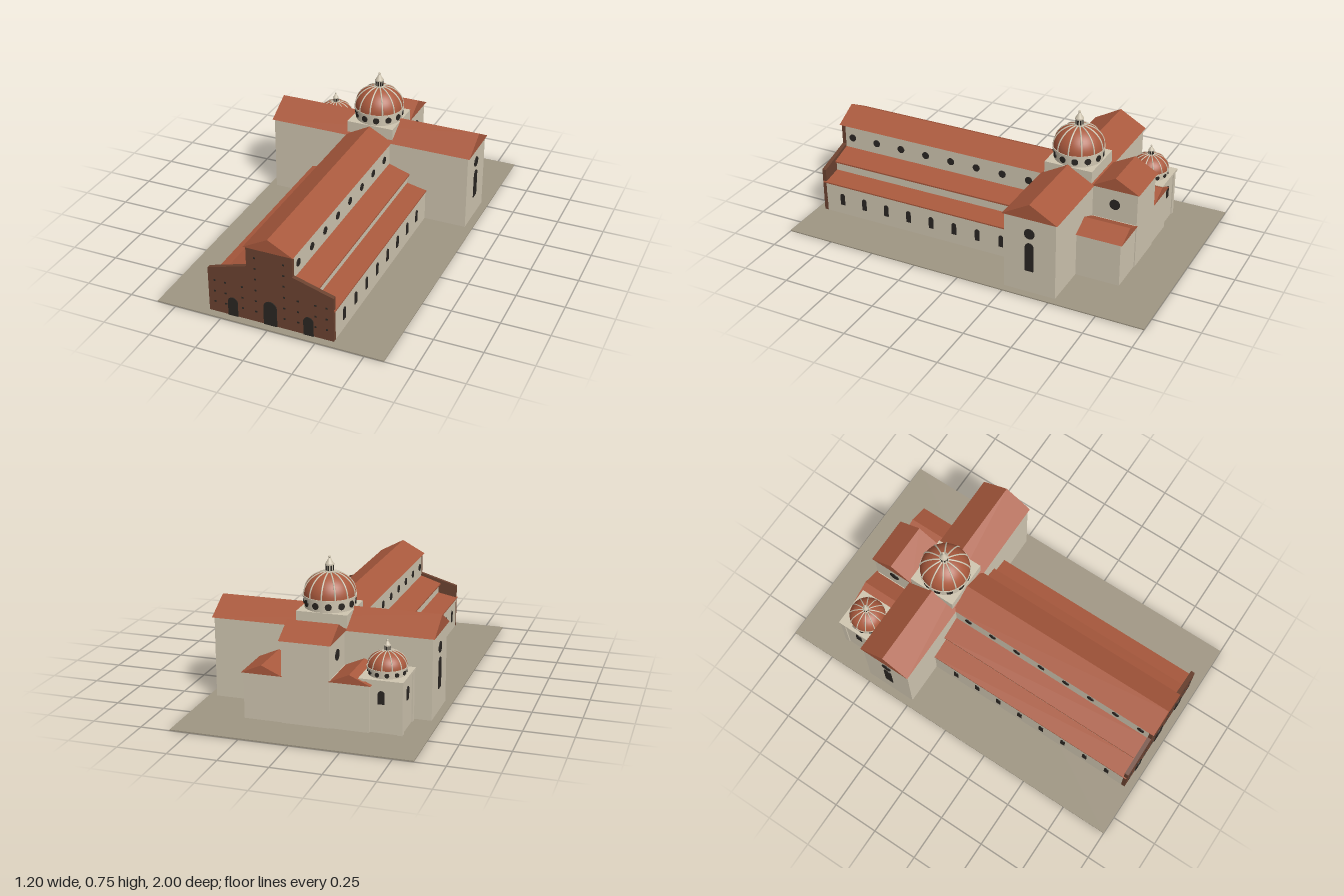
import * as THREE from 'three';

const mat = (color) => new THREE.MeshStandardMaterial({ color, side: THREE.DoubleSide });
const WALL = mat(0xcfc5b0), ROOF = mat(0xa9593d), GROUND = mat(0x9f9683), BRICK = mat(0x6b4230), DARK = mat(0x2a2622);

function add(parent, name, geometry, material, x = 0, y = 0, z = 0) {
  const m = new THREE.Mesh(geometry, material);
  m.name = name;
  m.position.set(x, y, z);
  parent.add(m);
  return m;
}

// Box given by its limits on each axis
function block(parent, name, material, x0, x1, y0, y1, z0, z1) {
  return add(parent, name, new THREE.BoxGeometry(x1 - x0, y1 - y0, z1 - z0), material,
    (x0 + x1) / 2, (y0 + y1) / 2, (z0 + z1) / 2);
}

// Polygon in x, y pushed along z
function prism(parent, name, material, points, z0, z1) {
  const shape = new THREE.Shape(points.map(([x, y]) => new THREE.Vector2(x, y)));
  return add(parent, name, new THREE.ExtrudeGeometry(shape, { depth: z1 - z0, bevelEnabled: false }), material, 0, 0, z0);
}

// Gable roof with its ridge along x
function crossGable(parent, name, halfLength, z0, z1, eave, ridge) {
  const h = (z1 - z0) / 2;
  const m = prism(parent, name, ROOF, [[-h, eave], [h, eave], [0, ridge]], 0, 2 * halfLength);
  m.rotation.y = Math.PI / 2;
  m.position.set(-halfLength, 0, (z0 + z1) / 2);
}

// Round-headed opening, standing on y, facing the given angle around y
function arch(parent, name, w, h, x, y, z, angle) {
  const r = w / 2, s = new THREE.Shape();
  s.moveTo(-r, 0);
  s.lineTo(r, 0);
  s.lineTo(r, h - r);
  s.absarc(0, h - r, r, 0, Math.PI, false);
  s.closePath();
  const g = new THREE.ExtrudeGeometry(s, { depth: 0.008, bevelEnabled: false, curveSegments: 8 });
  g.translate(0, 0, -0.004);
  add(parent, name, g, DARK, x, y, z).rotation.y = angle;
}

// Round window facing the given angle around y
function oculus(parent, r, x, y, z, angle) {
  const g = new THREE.CylinderGeometry(r, r, 0.008, 20).rotateX(Math.PI / 2);
  add(parent, 'roundWindow', g, DARK, x, y, z).rotation.y = angle;
}

// Drum, ribbed dome and lantern; r = radius, origin at the foot of the drum
function domeGroup(name, r, drumH, domeH, lanternScale) {
  const g = new THREE.Group(), N = 12;
  g.name = name;
  add(g, 'drum', new THREE.CylinderGeometry(r * 0.97, r * 0.97, drumH, 48), WALL, 0, drumH / 2);
  add(g, 'drumCornice', new THREE.CylinderGeometry(r * 1.03, r * 1.03, 0.01, 48), WALL, 0, drumH);
  const at = (t, k = 1) => new THREE.Vector2(Math.cos(t) * r * k, drumH + 0.004 + Math.sin(t) * domeH * k);
  const profile = [];
  for (let i = 0; i <= 14; i++) profile.push(at((i / 14) * Math.PI / 2));
  add(g, 'domeShell', new THREE.LatheGeometry(profile, 48), ROOF);
  const path = new THREE.CatmullRomCurve3([0, 1, 2, 3, 4, 5, 6].map((i) => {
    const p = at((i / 6) * 1.45, 1.005);
    return new THREE.Vector3(p.x, p.y, 0);
  }));
  const rib = new THREE.TubeGeometry(path, 14, r * 0.032, 6);
  for (let i = 0; i < N; i++) {
    const a = (i / N) * Math.PI * 2, b = a + Math.PI / N;
    add(g, 'rib', rib, WALL).rotation.y = a + Math.PI / 2;
    oculus(g, Math.min(0.017, drumH * 0.32), Math.sin(b) * r * 0.97, drumH * 0.5, Math.cos(b) * r * 0.97, b);
  }
  // Lantern with slits, cap and ball
  const l = new THREE.Group();
  l.name = 'lantern';
  l.position.y = drumH + domeH;
  l.scale.setScalar(lanternScale);
  add(l, 'lanternFoot', new THREE.CylinderGeometry(0.024, 0.026, 0.01, 16), WALL, 0, 0.002);
  add(l, 'lanternBody', new THREE.CylinderGeometry(0.018, 0.018, 0.04, 16), WALL, 0, 0.02);
  add(l, 'lanternCornice', new THREE.CylinderGeometry(0.023, 0.023, 0.006, 16), WALL, 0, 0.04);
  add(l, 'lanternCap', new THREE.CylinderGeometry(0.004, 0.021, 0.03, 16), WALL, 0, 0.058);
  add(l, 'ball', new THREE.SphereGeometry(0.007, 12, 8), WALL, 0, 0.077);
  for (let i = 0; i < 8; i++) {
    const a = (i / 8) * Math.PI * 2;
    arch(l, 'lanternSlit', 0.007, 0.026, Math.sin(a) * 0.017, 0.009, Math.cos(a) * 0.017, a);
  }
  g.add(l);
  return g;
}

export function createModel() {
  const root = new THREE.Group();
  root.name = 'basilica';
  block(root, 'ground', GROUND, -0.6, 0.6, 0, 0.006, -1, 1);

  // Nave
  block(root, 'nave', WALL, -0.12, 0.12, 0.006, 0.425, -0.25, 0.94);
  prism(root, 'naveRoof', ROOF, [[-0.13, 0.423], [0.13, 0.423], [0, 0.493]], -0.25, 0.968);

  // Facade with doors and scaffold holes
  prism(root, 'facade', BRICK, [[-0.33, 0.006], [0.33, 0.006], [0.33, 0.25], [0.12, 0.312], [0.12, 0.424],
    [-0.12, 0.424], [-0.12, 0.312], [-0.33, 0.25]], 0.938, 0.96);
  arch(root, 'mainDoor', 0.07, 0.135, 0, 0.006, 0.96, 0);
  const hole = new THREE.BoxGeometry(0.01, 0.008, 0.006);

  for (const s of [-1, 1]) {
    const side = s * Math.PI / 2;
    arch(root, 'sideDoor', 0.052, 0.104, s * 0.2, 0.006, 0.96, 0);
    for (const y of [0.065, 0.125, 0.187])
      for (const x of [0.075, 0.147, 0.237, 0.295]) add(root, 'scaffoldHole', hole, DARK, s * x, y, 0.96);
    for (const y of [0.25, 0.31, 0.37]) add(root, 'scaffoldHole', hole, DARK, s * 0.075, y, 0.96);

    // Inner and outer aisles with lean-to roofs
    block(root, 'innerAisle', WALL, s > 0 ? 0.12 : -0.225, s > 0 ? 0.225 : -0.12, 0.006, 0.256, -0.25, 0.94);
    block(root, 'outerAisle', WALL, s > 0 ? 0.225 : -0.33, s > 0 ? 0.33 : -0.225, 0.006, 0.177, -0.25, 0.94);
    prism(root, 'innerAisleRoof', ROOF, [[s * 0.12, 0.25], [s * 0.237, 0.25], [s * 0.237, 0.258], [s * 0.12, 0.296]], -0.25, 0.94);
    prism(root, 'outerAisleRoof', ROOF, [[s * 0.22, 0.173], [s * 0.335, 0.173], [s * 0.335, 0.18], [s * 0.22, 0.203]], -0.25, 0.955);
    for (let i = 0; i < 8; i++) {
      oculus(root, 0.02, s * 0.12, 0.357, 0.893 - i * 0.151, side);
      arch(root, 'aisleWindow', 0.026, 0.066, s * 0.33, 0.062, 0.84 - i * 0.1357, side);
    }

    // Transept end windows
    oculus(root, 0.028, s * 0.56, 0.338, -0.38, side);
    arch(root, 'transeptWindow', 0.046, 0.158, s * 0.56, 0.128, -0.38, side);

    // Side chapels beside the choir, ridge along z
    block(root, 'sideChapel', WALL, s > 0 ? 0.12 : -0.315, s > 0 ? 0.315 : -0.12, 0.006, 0.247, -0.755, -0.51);
    prism(root, 'sideChapelRoof', ROOF, [[s * 0.115, 0.243], [s * 0.325, 0.243], [s * 0.22, 0.29]], -0.765, -0.51);
    oculus(root, 0.028, s * 0.12, 0.338, -0.64, side);
  }

  // Transept and choir
  block(root, 'transept', WALL, -0.56, 0.56, 0.006, 0.425, -0.52, -0.243);
  crossGable(root, 'transeptRoof', 0.57, -0.53, -0.235, 0.423, 0.506);
  block(root, 'choir', WALL, -0.12, 0.12, 0.006, 0.425, -0.76, -0.51);
  crossGable(root, 'choirRoof', 0.13, -0.77, -0.515, 0.423, 0.492);

  // Main dome on its square base
  block(root, 'domeBase', WALL, -0.13, 0.13, 0.42, 0.496, -0.515, -0.255);
  const dome = domeGroup('mainDome', 0.13, 0.058, 0.115, 1);
  dome.position.set(0, 0.496, -0.385);
  root.add(dome);

  // Corner chapel with pilasters and a small dome
  const chapel = new THREE.Group();
  chapel.name = 'cornerChapel';
  chapel.position.set(-0.37, 0, -0.64);
  root.add(chapel);
  block(chapel, 'chapelWalls', WALL, -0.1, 0.1, 0.006, 0.265, -0.1, 0.12);
  block(chapel, 'chapelCornice', WALL, -0.11, 0.11, 0.262, 0.275, -0.113, 0.113);
  for (const x of [-0.093, 0.093])
    for (const z of [-0.093, 0.093])
      block(chapel, 'pilaster', WALL, x - 0.013, x + 0.013, 0.006, 0.264, z - 0.013, z + 0.013);
  for (const a of [-Math.PI / 2, Math.PI / 2, Math.PI])
    arch(chapel, 'chapelWindow', 0.034, 0.066, Math.sin(a) * 0.1, 0.152, Math.cos(a) * 0.1, a);
  const small = domeGroup('smallDome', 0.095, 0.034, 0.076, 0.7);
  small.position.y = 0.275;
  chapel.add(small);

  return root;
}
